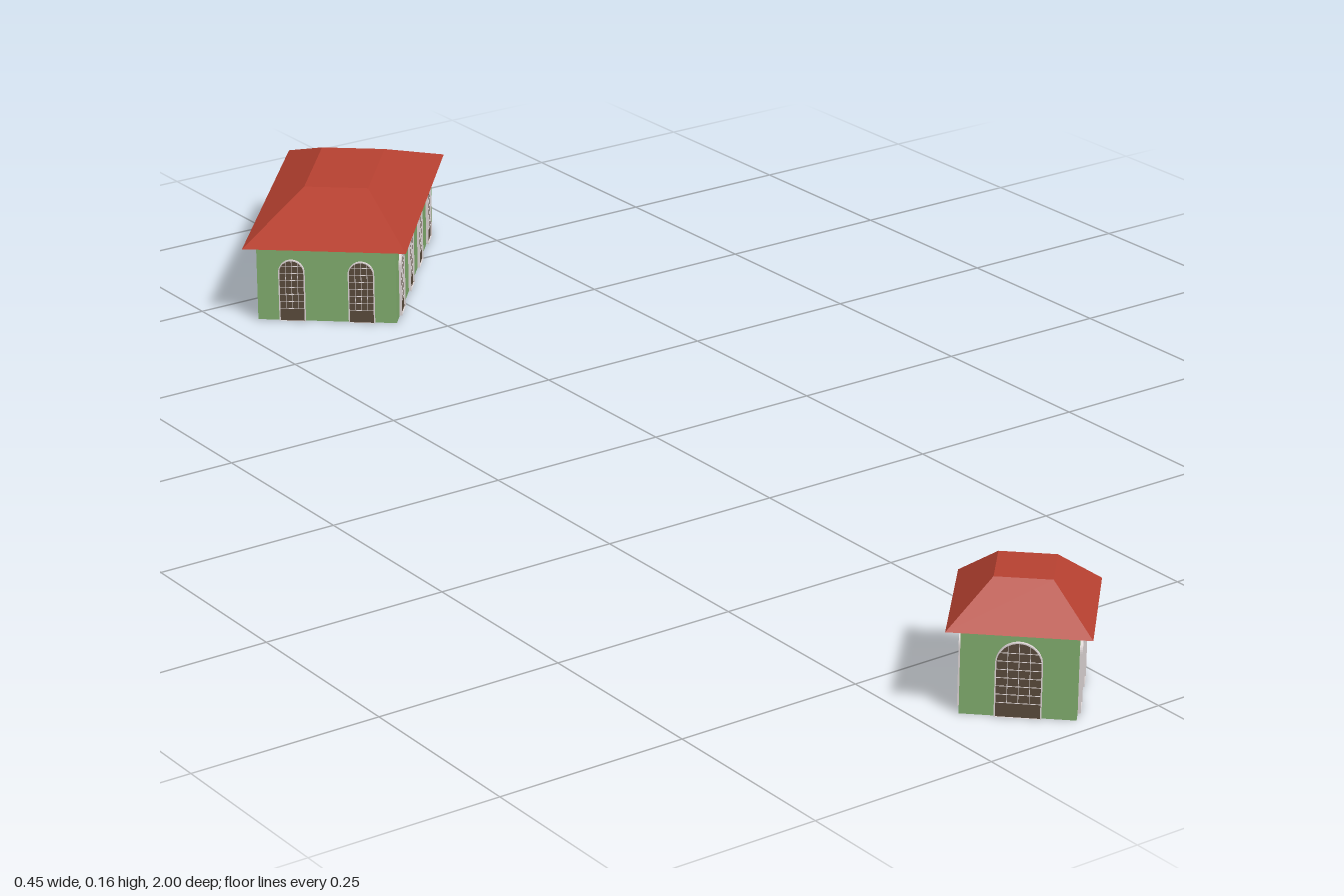
import * as THREE from 'three';

const WALL_H = 0.11, ROOF_TOP = 0.16;

export function createModel() {
  const mat = (name, color, side = THREE.FrontSide) => {
    const m = new THREE.MeshStandardMaterial({ color, side });
    m.name = name;
    return m;
  };
  const green = mat('wallGreen', 0x7fab6c, THREE.DoubleSide);
  const red = mat('roofRed', 0xb54030);
  const grey = mat('soffitGrey', 0xcfcfcf);
  const brown = mat('windowBrown', 0x594a3b);
  const pale = mat('framePale', 0xdcd4d4);

  const add = (parent, name, geometry, material) => {
    const mesh = new THREE.Mesh(geometry, material);
    mesh.name = name;
    parent.add(mesh);
    return mesh;
  };

  // Round-headed outline standing on y = 0
  const arch = (Type, w, h) => {
    const r = w / 2, p = new Type();
    p.moveTo(-r, 0);
    p.lineTo(r, 0);
    p.lineTo(r, h - r);
    p.absarc(0, h - r, r, 0, Math.PI, false);
    p.lineTo(-r, 0);
    return p;
  };
  const extrude = (shape, depth) => new THREE.ExtrudeGeometry(shape,
    { depth, bevelEnabled: false, curveSegments: 10 }).translate(0, 0, -depth / 2);

  // Arched window showing on both sides of the wall
  function makeWindow(w, h) {
    const g = new THREE.Group();
    g.name = 'archedWindow';
    add(g, 'windowPane', extrude(arch(THREE.Shape, w, h), 0.003), brown);
    const rim = arch(THREE.Shape, w + 0.003, h + 0.0015);
    rim.holes.push(arch(THREE.Path, w, h));
    add(g, 'windowFrame', extrude(rim, 0.007), pale);
    // fine glazing bars
    const r = w / 2;
    for (const x of [-w / 4, 0, w / 4]) {
      const top = h - r + Math.sqrt(r * r - x * x);
      add(g, 'glazingBar', new THREE.BoxGeometry(0.0007, top - 0.018, 0.0044), pale)
        .position.set(x, (top + 0.018) / 2, 0);
    }
    for (let y = 0.018; y < h - 0.006; y += 0.0105) {
      const over = Math.max(0, y - (h - r));
      add(g, 'glazingBar', new THREE.BoxGeometry(2 * Math.sqrt(r * r - over * over), 0.0007, 0.0044), pale)
        .position.y = y;
    }
    return g;
  }

  // One wall with evenly spaced windows
  function makeWall(length, { count, w, h }) {
    const g = new THREE.Group();
    g.name = 'wall';
    add(g, 'wallPanel', new THREE.PlaneGeometry(length, WALL_H), green).position.y = WALL_H / 2;
    for (let i = 0; i < count; i++) {
      const win = makeWindow(w, h);
      win.position.x = ((i + 0.5) / count - 0.5) * length;
      g.add(win);
    }
    return g;
  }

  // Hipped roof with a flat top: a box whose upper corners are drawn in
  function makeRoof([ew, ed], [tw, td]) {
    const geo = new THREE.BoxGeometry(ew, ROOF_TOP - WALL_H, ed);
    const p = geo.attributes.position;
    for (let i = 0; i < p.count; i++) {
      if (p.getY(i) > 0) {
        p.setX(i, Math.sign(p.getX(i)) * tw / 2);
        p.setZ(i, Math.sign(p.getZ(i)) * td / 2);
      }
    }
    geo.computeVertexNormals();
    return geo.translate(0, (WALL_H + ROOF_TOP) / 2, 0);
  }

  function makeHouse(o) {
    const g = new THREE.Group();
    g.name = o.name;
    const [w, d] = o.size;
    for (let i = 0; i < 4; i++) {
      const isEnd = i % 2 === 0;
      const wall = makeWall(isEnd ? w : d, isEnd ? o.ends : o.sides);
      const a = i * Math.PI / 2, off = (isEnd ? d : w) / 2;
      wall.rotation.y = a;
      wall.position.set(Math.sin(a) * off, 0, Math.cos(a) * off);
      g.add(wall);
    }
    add(g, 'hippedRoof', makeRoof(o.eaves, o.top), [red, red, red, grey, red, red]);
    g.position.set(o.x, 0, o.z);
    g.rotation.y = -THREE.MathUtils.degToRad(o.angle);
    return g;
  }

  const model = new THREE.Group();
  model.name = 'twoHouses';
  model.add(
    makeHouse({
      name: 'longHouse', x: 0, z: -0.7635, angle: 40.3,
      size: [0.196, 0.391], eaves: [0.23, 0.425], top: [0.091, 0.171],
      ends: { count: 2, w: 0.034, h: 0.089 }, sides: { count: 4, w: 0.036, h: 0.091 },
    }),
    makeHouse({
      name: 'smallHouse', x: -0.103, z: 0.877, angle: 43.8,
      size: [0.136, 0.142], eaves: [0.169, 0.178], top: [0.069, 0.073],
      ends: { count: 1, w: 0.052, h: 0.094 }, sides: { count: 2, w: 0.029, h: 0.09 },
    }),
  );
  return model;
}
